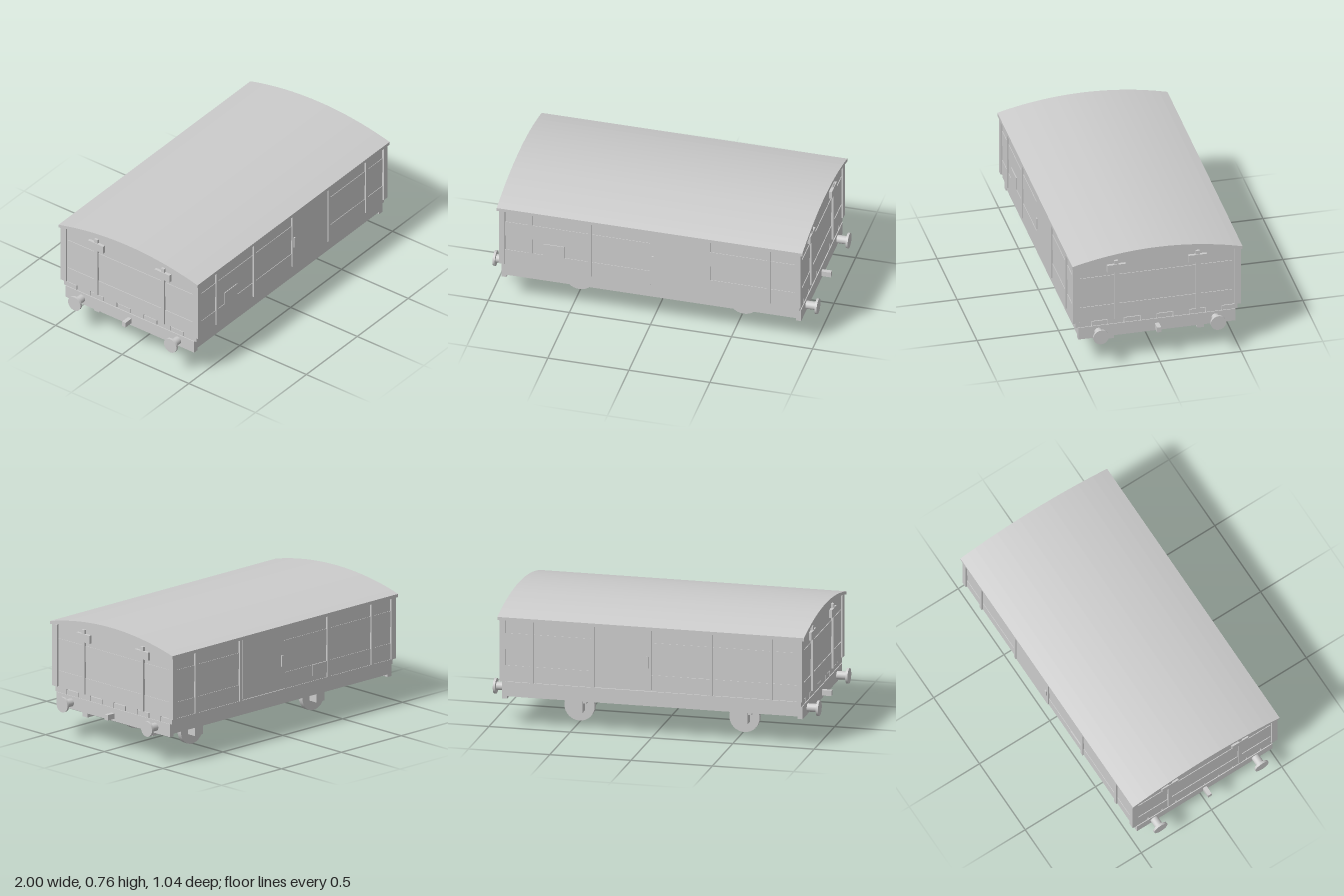
import * as THREE from 'three';

const material = new THREE.MeshStandardMaterial({ color: 0xcccccc });

function add(parent, name, geometry, x = 0, y = 0, z = 0) {
  const mesh = new THREE.Mesh(geometry, material);
  mesh.name = name;
  mesh.position.set(x, y, z);
  parent.add(mesh);
  return mesh;
}

// box given by its limits on each axis
function box(parent, name, x0, x1, y0, y1, z0, z1) {
  const g = new THREE.BoxGeometry(Math.abs(x1 - x0), Math.abs(y1 - y0), Math.abs(z1 - z0));
  return add(parent, name, g, (x0 + x1) / 2, (y0 + y1) / 2, (z0 + z1) / 2);
}

// points on the roof curve, from +half to -half
function arc(half, top, steps = 20) {
  const R = 2.04;
  return Array.from({ length: steps + 1 }, (_, i) => {
    const z = half - (2 * half * i) / steps;
    return new THREE.Vector2(z, top - R + Math.sqrt(R * R - z * z));
  });
}

// profile in z and y, extruded along x
function extrudeAlongX(points, halfLength) {
  const g = new THREE.ExtrudeGeometry(new THREE.Shape(points), {
    depth: halfLength * 2, bevelEnabled: false,
  });
  g.translate(0, 0, -halfLength);
  g.rotateY(Math.PI / 2);
  return g;
}

export function createModel() {
  const wagon = new THREE.Group();
  wagon.name = 'coveredWagon';

  // body with arched ends
  add(wagon, 'body', extrudeAlongX([
    new THREE.Vector2(-0.503, 0.29), new THREE.Vector2(0.503, 0.29), ...arc(0.503, 0.739),
  ], 0.918));

  // curved roof sheet
  add(wagon, 'roof', extrudeAlongX([
    ...arc(0.522, 0.758), ...arc(0.522, 0.738).reverse(),
  ], 0.943));

  // floor planks, running lengthwise
  for (let i = 0; i < 10; i++) {
    const z = -0.45 + i * 0.1;
    const top = i % 2 ? 0.29 : 0.285;
    box(wagon, 'floorPlank', -0.92, 0.92, 0.255, top, z - 0.0475, z + 0.0475);
  }

  // long sides
  for (const s of [1, -1]) {
    const side = new THREE.Group();
    side.name = s > 0 ? 'frontSide' : 'backSide';
    wagon.add(side);
    for (const y of [0.29, 0.49]) {
      box(side, 'sidePlank', -0.9, 0, y, y + 0.1, s * 0.5, s * 0.506);
      box(side, 'sidePlank', 0.36, 0.9, y, y + 0.1, s * 0.5, s * 0.506);
    }
    for (const x of [-0.738, -0.37, 0.36, 0.732]) {
      box(side, 'sidePost', x - 0.01, x + 0.01, 0.29, 0.67, s * 0.5, s * 0.515);
    }
    box(side, 'slidingDoor', 0, 0.345, 0.3, 0.672, s * 0.5, s * 0.513);
    box(side, 'doorHandle', 0.012, 0.026, 0.435, 0.505, s * 0.51, s * 0.52);
    if (s > 0) box(side, 'labelPanel', -0.66, -0.53, 0.39, 0.47, s * 0.5, s * 0.508);
    else box(side, 'labelPanel', -0.36, -0.24, 0.32, 0.39, s * 0.5, s * 0.51);

    // outer side beam and inner solebar
    box(side, 'sideBeam', -0.895, 0.895, 0.19, 0.255, s * 0.445, s * 0.48);
    box(side, 'solebar', -0.89, 0.89, 0.135, 0.255, s * 0.255, s * 0.297);
  }

  // ends
  for (const e of [1, -1]) {
    const end = new THREE.Group();
    end.name = e > 0 ? 'leftEnd' : 'rightEnd';
    wagon.add(end);
    for (const y of [0.29, 0.49]) {
      box(end, 'endPlank', e * 0.91, e * 0.922, y, y + 0.1, -0.47, 0.47);
    }
    box(end, 'headstock', e * 0.893, e * 0.925, 0.175, 0.255, -0.482, 0.482);
    box(end, 'drawHook', e * 0.92, e * 0.983, 0.192, 0.225, -0.013, 0.013);

    for (const s of [1, -1]) {
      // corner angle
      box(end, 'cornerPost', e * 0.895, e * 0.93, 0.29, 0.675, s * 0.475, s * 0.515);

      // upright with its cross plate
      box(end, 'endStanchion', e * 0.91, e * 0.932, 0.29, 0.69, s * 0.238, s * 0.263);
      box(end, 'stanchionPlate', e * 0.91, e * 0.936, 0.615, 0.665, s * 0.192, s * 0.306);

      // buffer
      const buffer = new THREE.Group();
      buffer.name = 'buffer';
      buffer.position.set(0, 0.215, s * 0.36);
      end.add(buffer);
      const shank = new THREE.CylinderGeometry(0.025, 0.025, 0.07, 20).rotateZ(Math.PI / 2);
      const head = new THREE.CylinderGeometry(0.047, 0.047, 0.014, 32).rotateZ(Math.PI / 2);
      add(buffer, 'bufferShank', shank, e * 0.955);
      add(buffer, 'bufferHead', head, e * 0.993);
    }
  }

  // wheelsets
  for (const x of [-0.507, 0.507]) {
    const wheelset = new THREE.Group();
    wheelset.name = 'wheelset';
    wheelset.position.x = x;
    wagon.add(wheelset);
    add(wheelset, 'axle', new THREE.CylinderGeometry(0.016, 0.016, 0.46, 16).rotateX(Math.PI / 2), 0, 0.093, 0);
    for (const s of [1, -1]) {
      add(wheelset, 'wheel', new THREE.CylinderGeometry(0.093, 0.093, 0.03, 32).rotateX(Math.PI / 2), 0, 0.093, s * 0.23);
      box(wheelset, 'axleBox', -0.033, 0.033, 0.065, 0.142, s * 0.245, s * 0.304);
      box(wheelset, 'axleBoxMount', -0.055, 0.055, 0.12, 0.14, s * 0.26, s * 0.288);
    }
  }
  return wagon;
}
